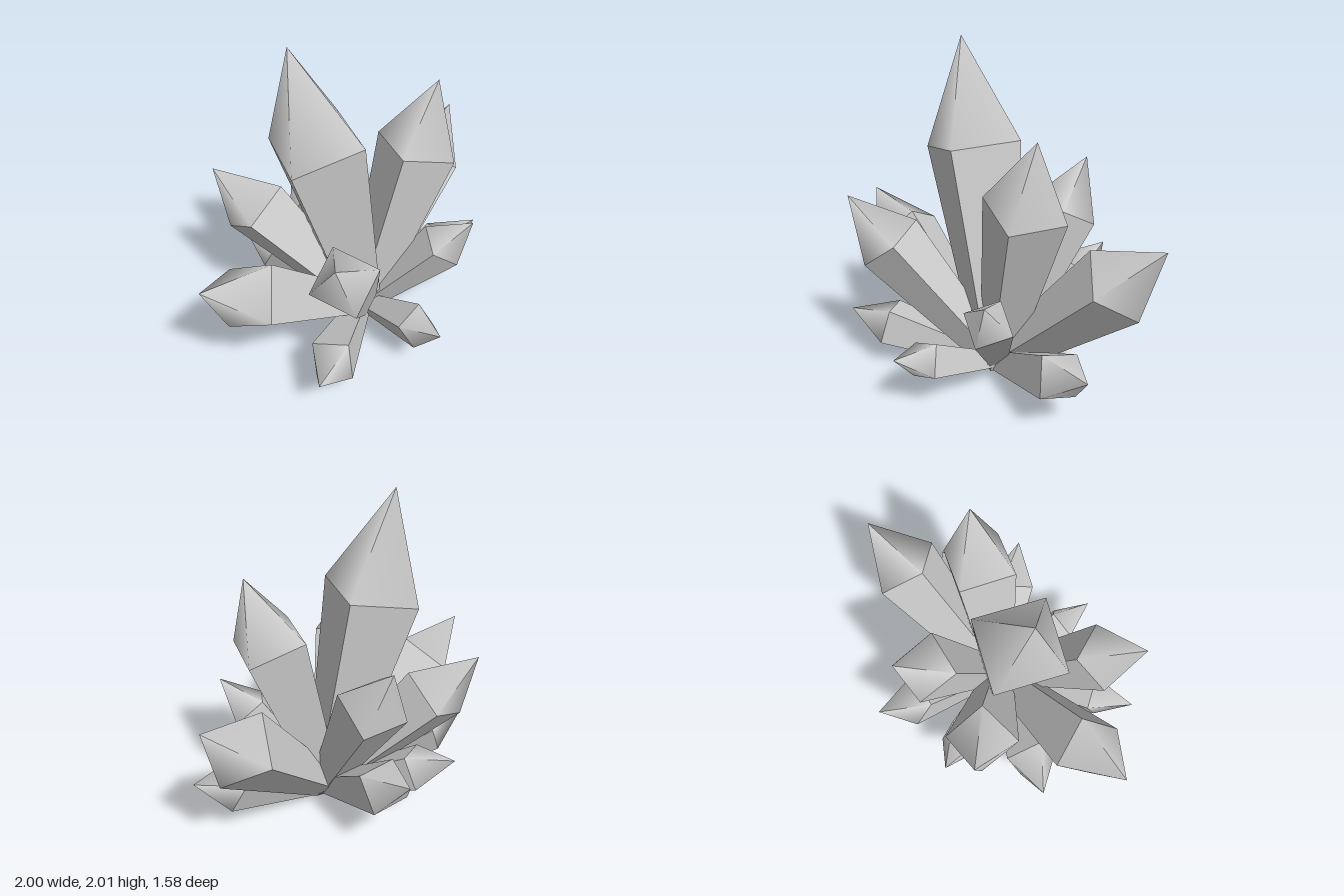
import * as THREE from 'three';

// Common root from which all crystals grow
const ROOT = new THREE.Vector3(0.12, 0.06, 0.07);
const TAPER = 0.45; // root width relative to shoulder width

// Each crystal: name, tip point, one corner of its square shoulder
const CRYSTALS = [
  ['tallCrystal', [-0.33, 1.99, 0.07], [-0.41, 1.33, 0.27]],
  ['secondTallCrystal', [0.57, 1.61, 0.07], [0.275, 1.24, 0.235]],
  ['leftBackCrystal', [1.0, 1.07, -0.46], [0.61, 0.96, -0.25]],
  ['backCrystal', [0.0, 1.25, -0.61], [0.2, 1.01, -0.33]],
  ['rightBackCrystal', [-0.67, 1.07, -0.38], [-0.31, 0.95, -0.2]],
  ['rightFrontCrystal', [-1.0, 0.88, 0.42], [-0.57, 0.85, 0.33]],
  ['frontCrystal', [-0.39, 1.11, 0.79], [-0.06, 0.88, 0.64]],
  ['leftFrontCrystal', [0.67, 0.8, 0.42], [0.41, 0.64, 0.42]],
  ['lowRightCrystal', [-0.84, 0.43, 0.0], [-0.55, 0.41, -0.13]],
  ['lowLeftCrystal', [0.99, 0.4, -0.02], [0.7, 0.44, 0.09]],
  ['lowFrontCrystal', [0.27, 0.36, 0.79], [0.27, 0.39, 0.53]],
  ['lowRightFrontCrystal', [-0.49, 0.3, 0.79], [-0.24, 0.36, 0.63]],
  ['lowBackCrystal', [-0.03, 0.62, -0.79], [0.11, 0.36, -0.64]],
  ['lowRightBackCrystal', [-0.48, 0.47, -0.52], [-0.25, 0.28, -0.47]],
];

const shaftMaterial = new THREE.MeshStandardMaterial({ color: 0xcccccc, flatShading: true });
const tipMaterial = new THREE.MeshStandardMaterial({ color: 0xcccccc });

function makeCrystal(name, tipPoint, cornerPoint) {
  const axis = new THREE.Vector3(...tipPoint).sub(ROOT);
  const length = axis.length();
  axis.normalize();

  // Project the corner on the axis: gives shoulder height, radius and roll
  const corner = new THREE.Vector3(...cornerPoint).sub(ROOT);
  const shoulder = corner.dot(axis);
  const side = corner.addScaledVector(axis, -shoulder);
  const radius = side.length();
  side.normalize();

  const crystal = new THREE.Group();
  crystal.name = name;
  crystal.position.copy(ROOT);
  const across = new THREE.Vector3().crossVectors(side, axis);
  crystal.quaternion.setFromRotationMatrix(new THREE.Matrix4().makeBasis(side, axis, across));

  // Four-sided shaft, widening upwards
  const shaft = new THREE.Mesh(
    new THREE.CylinderGeometry(radius, radius * TAPER, shoulder, 4), shaftMaterial);
  shaft.name = 'shaft';
  shaft.position.y = shoulder / 2;

  // Smoothly shaded pyramid point
  const point = new THREE.Mesh(
    new THREE.ConeGeometry(radius, length - shoulder, 4, 1, true), tipMaterial);
  point.name = 'point';
  point.position.y = (length + shoulder) / 2;

  crystal.add(shaft, point);
  return crystal;
}

export function createModel() {
  const cluster = new THREE.Group();
  cluster.name = 'crystalCluster';
  for (const spec of CRYSTALS) cluster.add(makeCrystal(...spec));
  return cluster;
}
